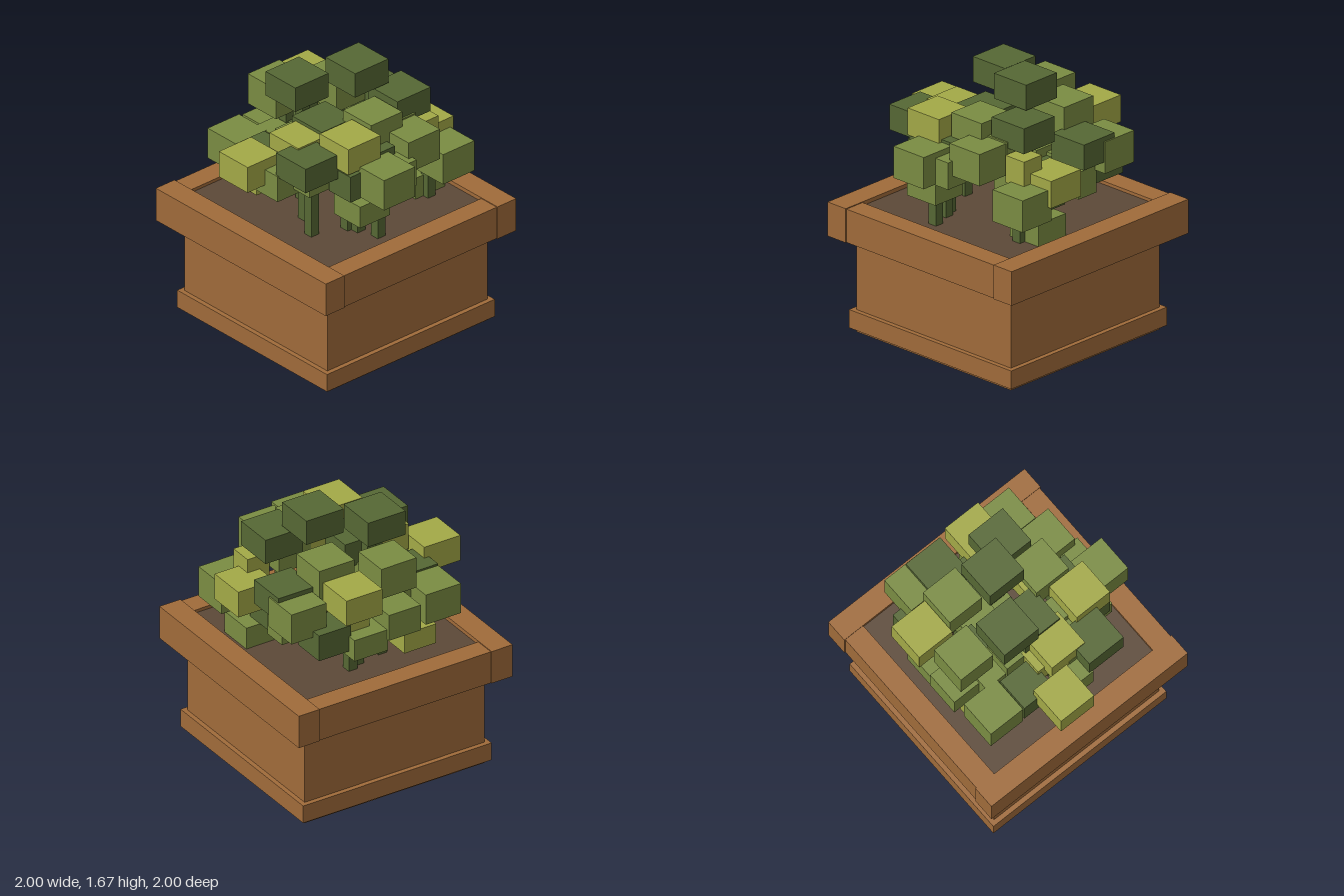
import * as THREE from 'three';

const TURN = 0.485; // the whole planter stands turned about the vertical
const SOIL_Y = 0.8;

function material(name, color) {
  const m = new THREE.MeshStandardMaterial({ color });
  m.name = name;
  return m;
}

function box(name, mat, w, h, d, x, y, z) {
  const mesh = new THREE.Mesh(new THREE.BoxGeometry(w, h, d), mat);
  mesh.name = name;
  mesh.position.set(x, y, z);
  return mesh;
}

function group(name, parent) {
  const g = new THREE.Group();
  g.name = name;
  parent.add(g);
  return g;
}

export function createModel() {
  const wood = material('wood', 0xa06b3a);
  const soil = material('soil', 0x5c4938);
  const dark = material('darkLeaf', 0x566834);
  const mid = material('midLeaf', 0x7a8c42);
  const light = material('lightLeaf', 0xa3a947);

  const model = new THREE.Group();
  model.name = 'planter';

  // Pot: body, base moulding, soil and a rim of four boards
  const pot = group('pot', model);
  pot.rotation.y = TURN;
  pot.add(box('potBody', wood, 1.244, 0.7, 1.244, 0, 0.355, 0));
  pot.add(box('baseMoulding', wood, 1.304, 0.115, 1.304, 0, 0.0875, 0));
  pot.add(box('soil', soil, 1.24, 0.1, 1.24, 0, SOIL_Y - 0.05, 0));
  for (const s of [-1, 1]) {
    pot.add(box('rimSideBoard', wood, 0.145, 0.215, 1.48, s * 0.6675, 0.7175, 0));
    pot.add(box('rimEndBoard', wood, 1.19, 0.21, 0.135, 0, 0.715, s * 0.665));
  }

  const foliage = group('foliage', model);
  const stems = group('stems', model);
  const addTurned = (parent, mesh) => {
    mesh.rotation.y = TURN;
    parent.add(mesh);
  };

  // Outer leaf blocks of one colour share a size; spots are x, z and top
  function leafBlocks(name, mat, width, height, spots) {
    spots.forEach(([x, z, top], i) => {
      addTurned(foliage, box(name, mat, width, height, width, x, top - height / 2, z));
      // Every second block stands on a stem set a little closer to the middle
      if (i % 2 === 0) {
        const h = top - height / 2 - SOIL_Y;
        addTurned(stems, box('stem', dark, 0.06, h, 0.06, x * 0.85, SOIL_Y + h / 2, z * 0.85));
      }
    });
  }
  leafBlocks('darkLeafBlock', dark, 0.258, 0.16, [
    [-0.22, -0.05, 1.64], [0.14, -0.06, 1.68], [0.37, 0.03, 1.51],
    [0.33, -0.35, 1.34], [-0.28, 0.44, 1.38], [-0.1, 0.1, 1.41],
  ]);
  leafBlocks('midLeafBlock', mid, 0.243, 0.2, [
    [0.09, -0.31, 1.48], [0.165, 0.22, 1.48], [0.155, 0.57, 1.31],
    [0.37, 0.3, 1.38], [0.62, 0.12, 1.165], [0.27, -0.5, 1.31],
    [-0.27, -0.32, 1.48], [-0.54, -0.2, 1.22],
  ]);
  leafBlocks('lightLeafBlock', light, 0.25, 0.17, [
    [-0.02, 0.42, 1.46], [0.54, -0.08, 1.23], [-0.05, -0.52, 1.4],
    [-0.57, 0.21, 1.3], [-0.27, 0.22, 1.39],
  ]);

  // Low blocks near the soil
  leafBlocks('lowLeafBlock', mid, 0.23, 0.14, [
    [0.04, 0.46, 1.08], [0.49, -0.02, 0.94], [-0.1, -0.45, 1.08],
  ]);
  addTurned(foliage, box('lowLightLeafBlock', light, 0.22, 0.13, 0.22, -0.41, 0.9, -0.22));

  // Smaller blocks spiral through the inside of the bush, lower towards its edge
  const innerColors = [mid, dark, mid, light, mid, dark];
  const count = 26;
  for (let i = 0; i < count; i++) {
    const r = 0.54 * Math.sqrt((i + 0.5) / count);
    const angle = i * 2.4;
    const size = 0.15 + 0.035 * (i % 3);
    const y = 1.02 + ((i * 0.618) % 1) * (0.44 - 0.45 * r);
    addTurned(foliage, box('innerLeafBlock', innerColors[i % innerColors.length],
      size, 0.17, size, r * Math.cos(angle), y, r * Math.sin(angle)));
  }

  return model;
}
